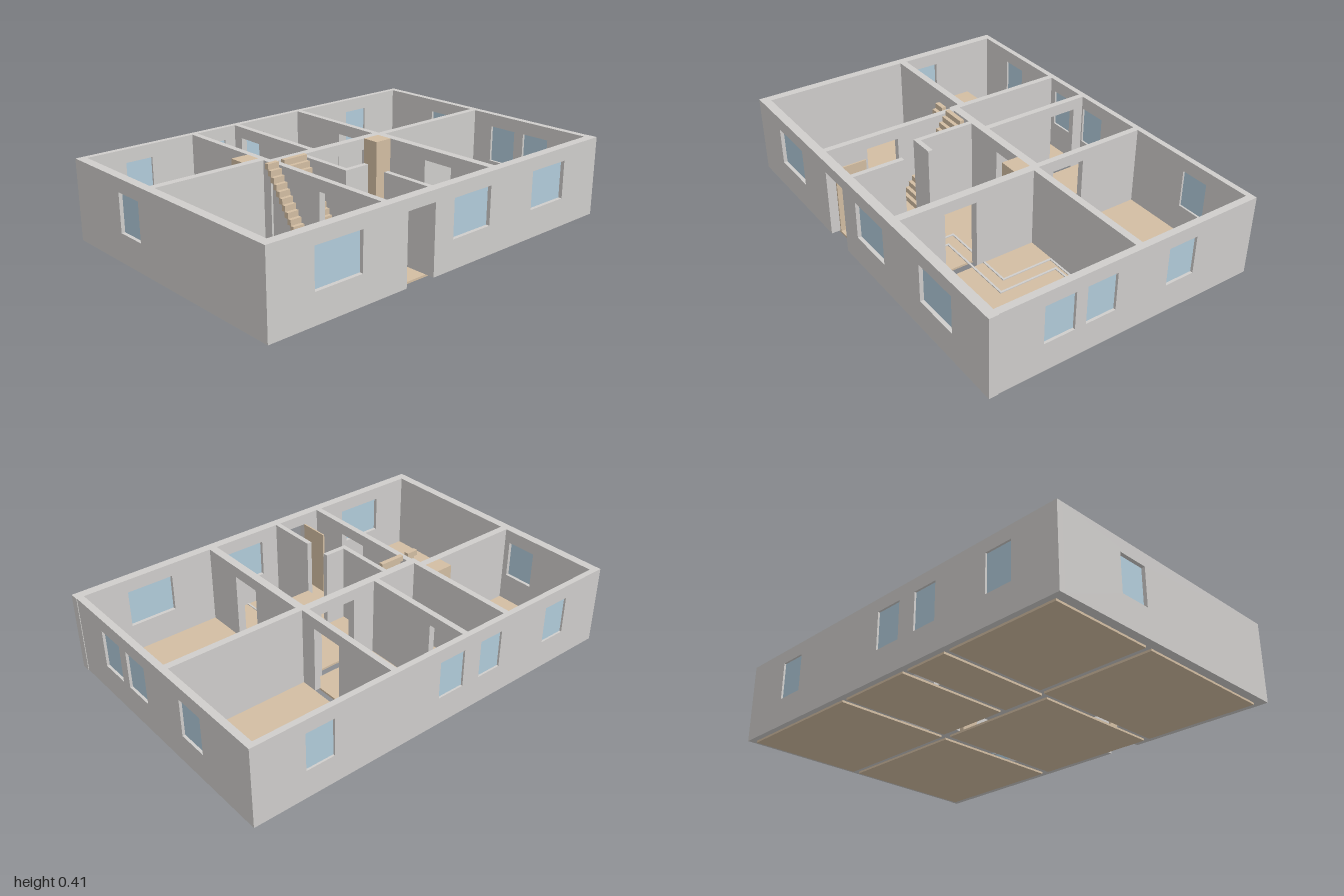
import * as THREE from 'three';

const BASE = 0.01, TOP = 0.4, DOOR = 0.345, SILL = 0.15, HEAD = 0.335;

export function createModel() {
  const house = new THREE.Group();
  house.name = 'floorPlanHouse';

  const material = (name, color) => {
    const m = new THREE.MeshStandardMaterial({ color });
    m.name = name;
    return m;
  };
  const wallGrey = material('wallGrey', 0xcfcdcb);
  const sand = material('sand', 0xd2bda2);
  const glassBlue = material('glassBlue', 0xb1cbda);

  const box = (name, mat, x0, x1, y0, y1, z0, z1) => {
    const mesh = new THREE.Mesh(new THREE.BoxGeometry(x1 - x0, y1 - y0, z1 - z0), mat);
    mesh.position.set((x0 + x1) / 2, (y0 + y1) / 2, (z0 + z1) / 2);
    mesh.name = name;
    house.add(mesh);
    return mesh;
  };

  // Wall over a rectangle of the plan; doors and windows are [from, to] along its length
  const wall = (name, x0, x1, z0, z1, { doors = [], windows = [] } = {}) => {
    const alongX = x1 - x0 > z1 - z0;
    const [a0, a1] = alongX ? [x0, x1] : [z0, z1];
    const thick = alongX ? z1 - z0 : x1 - x0;
    const s = alongX ? 1 : -1; // a quarter turn sends shape x to -z
    const shape = new THREE.Shape();
    const spans = [...doors].sort((p, q) => p[0] - q[0]);
    shape.moveTo(s * a0, BASE);
    for (const [d0, d1] of spans) {
      shape.lineTo(s * d0, BASE);
      shape.lineTo(s * d0, DOOR);
      shape.lineTo(s * d1, DOOR);
      shape.lineTo(s * d1, BASE);
    }
    shape.lineTo(s * a1, BASE);
    shape.lineTo(s * a1, TOP);
    shape.lineTo(s * a0, TOP);
    shape.closePath();
    for (const [w0, w1] of windows) {
      const hole = new THREE.Path();
      hole.moveTo(s * w0, SILL);
      hole.lineTo(s * w0, HEAD);
      hole.lineTo(s * w1, HEAD);
      hole.lineTo(s * w1, SILL);
      hole.closePath();
      shape.holes.push(hole);
      // pane in the middle of the wall
      const c = alongX ? (z0 + z1) / 2 : (x0 + x1) / 2;
      if (alongX) box('windowPane', glassBlue, w0, w1, SILL, HEAD, c - 0.004, c + 0.004);
      else box('windowPane', glassBlue, c - 0.004, c + 0.004, SILL, HEAD, w0, w1);
    }
    const geo = new THREE.ExtrudeGeometry(shape, { depth: thick, bevelEnabled: false });
    if (alongX) geo.translate(0, 0, z0);
    else geo.rotateY(Math.PI / 2).translate(x0, 0, 0);
    const mesh = new THREE.Mesh(geo, wallGrey);
    mesh.name = name;
    house.add(mesh);
  };

  // Outer walls
  wall('frontWall', -1, 1, 0.635, 0.68, {
    doors: [[-0.285, -0.125]],
    windows: [[-0.775, -0.53], [-0.01, 0.225], [0.515, 0.75]],
  });
  wall('backWall', -1, 0.997, -0.683, -0.655, {
    windows: [[-0.765, -0.627], [-0.337, -0.208], [-0.11, 0.032], [0.6, 0.742]],
  });
  wall('leftSideWall', 0.963, 0.997, -0.655, 0.635, {
    windows: [[-0.35, -0.2], [0.07, 0.22], [0.275, 0.425]],
  });
  wall('rightSideWall', -1, -0.957, -0.655, 0.635, { windows: [[-0.32, -0.165]] });

  // Inner walls across the house
  wall('crossWallRight', -0.957, -0.4, -0.136, -0.1);
  wall('crossWallMiddle', -0.37, 0.257, -0.09, -0.05, { doors: [[0, 0.19]] });
  wall('crossWallLeft', 0.287, 0.963, -0.077, -0.043);

  // Inner walls from back to front
  wall('backRoomWall', -0.4, -0.37, -0.655, -0.05);
  wall('bathWall', -0.148, -0.118, -0.655, -0.09, { doors: [[-0.6, -0.46]] });
  wall('backLeftRoomWall', 0.257, 0.287, -0.655, -0.043, { doors: [[-0.33, -0.16]] });
  wall('frontRightRoomWall', -0.39, -0.36, -0.05, 0.635, { doors: [[0.265, 0.43]] });
  wall('frontLeftRoomWall', 0.257, 0.297, -0.043, 0.635, { doors: [[0.26, 0.42]] });
  wall('stairWall', -0.23, -0.205, -0.05, 0.23);
  wall('stairWallReturn', -0.23, -0.1, 0.23, 0.255);
  wall('entryWall', -0.125, -0.1, 0.38, 0.635);

  // Floor slab of each room
  const rooms = [
    [-0.957, -0.4, -0.655, -0.136],
    [-0.37, -0.148, -0.655, -0.09],
    [-0.118, 0.257, -0.655, -0.09],
    [0.287, 0.963, -0.655, -0.077],
    [-0.957, -0.39, -0.1, 0.635],
    [-0.36, 0.257, -0.05, 0.635],
    [0.297, 0.963, -0.043, 0.635],
  ];
  for (const [x0, x1, z0, z1] of rooms) box('floorSlab', sand, x0, x1, 0, BASE, z0, z1);

  // Shafts in the room corners
  box('backShaft', sand, -0.49, -0.4, BASE, TOP, -0.215, -0.136);
  box('hallShaft', sand, 0.165, 0.257, BASE, TOP, -0.05, 0.035);

  // Stairs rising to the back, on both sides of the wall they pass through
  const steps = 15, rise = (0.415 - BASE) / steps, going = 0.275 / steps;
  for (let i = 0; i < steps; i++) {
    const y = BASE + i * rise, z = 0.255 - i * going;
    box('stairStep', sand, -0.36, -0.23, y, y + rise, z - going - 0.004, z);
    box('stairStep', sand, -0.45, -0.39, y, y + rise, z - going - 0.004, z);
  }

  // Open front door
  box('frontDoor', sand, -0.285, -0.277, BASE, DOOR, 0.48, 0.635);

  // Narrow lines along the floor, as [x, z] runs
  const lines = [
    [[0.043, 0.635], [0.043, 0.222], [0.447, 0.222], [0.447, -0.035], [0.963, -0.035]],
    [[0.096, 0.635], [0.096, 0.282], [0.513, 0.282], [0.513, -0.013], [0.963, -0.013]],
  ];
  const h = 0.005;
  for (const line of lines) {
    for (let i = 1; i < line.length; i++) {
      const [p, q] = [line[i - 1], line[i]];
      box('floorLine', wallGrey,
        Math.min(p[0], q[0]) - h, Math.min(0.963, Math.max(p[0], q[0]) + h), BASE, BASE + 0.004,
        Math.min(p[1], q[1]) - h, Math.min(0.635, Math.max(p[1], q[1]) + h));
    }
  }
  return house;
}
